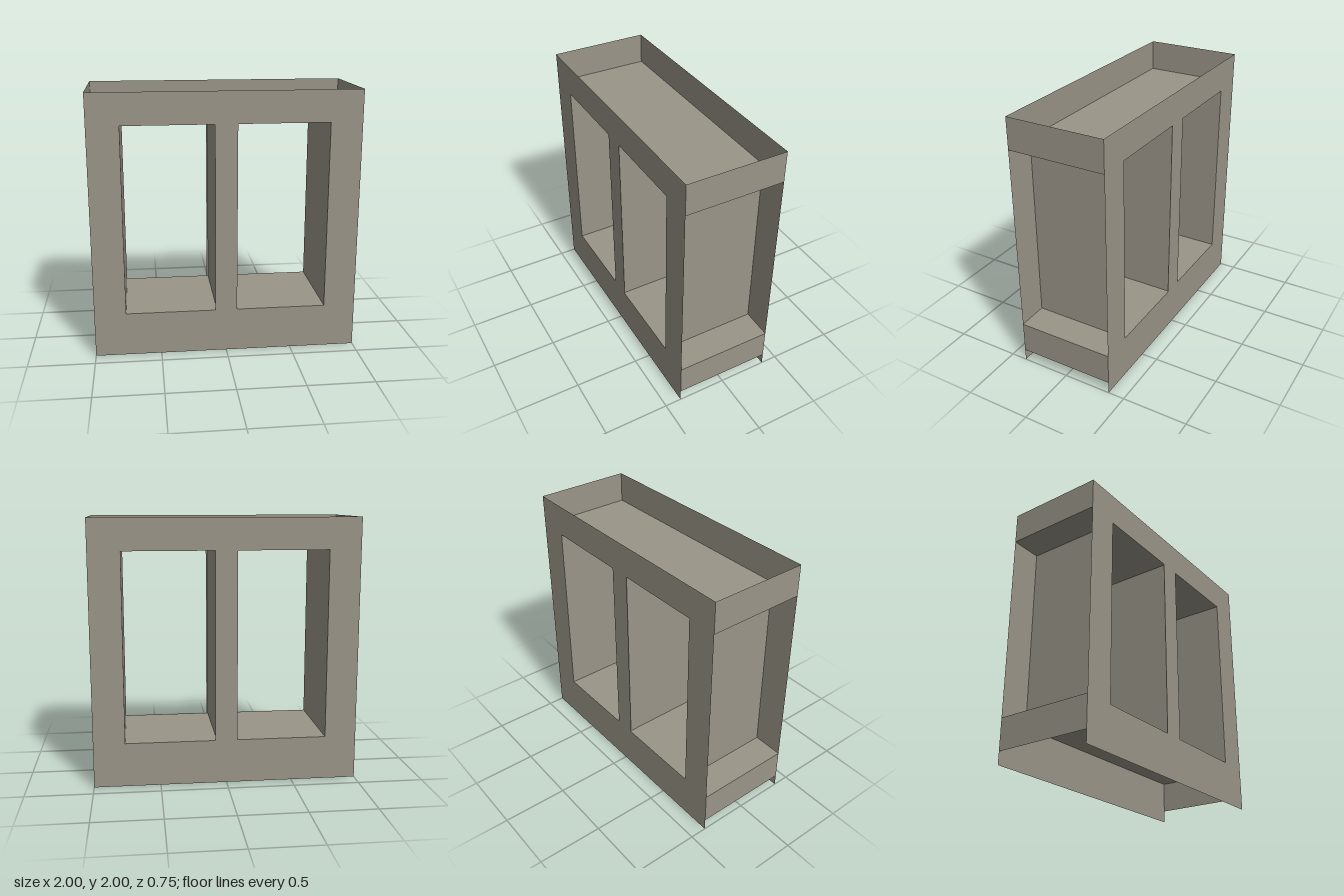
import * as THREE from 'three';

export function createModel() {
  const model = new THREE.Group();
  const concrete = new THREE.MeshStandardMaterial({ color: 0x9a9588, side: THREE.DoubleSide });
  concrete.name = 'concrete grey';

  const depth = 0.748, rim = 0.24;
  const holeIn = 0.083, holeOut = 0.762, low = 0.334, high = 1.762;

  const add = (name, geometry, x, y, z) => {
    const mesh = new THREE.Mesh(geometry, concrete);
    mesh.name = name;
    mesh.position.set(x, y, z);
    model.add(mesh);
  };
  // Upright sheet across the depth, at a given x
  const upright = (name, x, y0, y1) =>
    add(name, new THREE.PlaneGeometry(depth, y1 - y0).rotateY(x < 0 ? -Math.PI / 2 : Math.PI / 2), x, (y0 + y1) / 2, 0);

  const rectangle = (Type, x0, y0, x1, y1) => new Type([
    new THREE.Vector2(x0, y0), new THREE.Vector2(x1, y0),
    new THREE.Vector2(x1, y1), new THREE.Vector2(x0, y1),
  ]);

  // Face sheets with two tall openings
  const face = rectangle(THREE.Shape, -1, 0, 1, 2);
  face.holes.push(
    rectangle(THREE.Path, -holeOut, low, -holeIn, high),
    rectangle(THREE.Path, holeIn, low, holeOut, high),
  );
  add('frontFace', new THREE.ShapeGeometry(face), 0, 0, depth / 2);
  add('backFace', new THREE.ShapeGeometry(face).rotateY(Math.PI), 0, 0, -depth / 2);

  // Recessed sheets above and below the openings
  add('upperShelf', new THREE.PlaneGeometry(2, depth).rotateX(-Math.PI / 2), 0, high, 0);
  add('lowerShelf', new THREE.PlaneGeometry(2, depth).rotateX(-Math.PI / 2), 0, low, 0);

  // Mirrored walls: outer opening wall, centre web, and end strips
  for (const s of [-1, 1]) {
    const side = s > 0 ? 'left' : 'right';
    upright(side + 'OuterWall', s * holeOut, low, high);
    upright(side + 'CentreWall', s * 0.072, low, high);
    upright(side + 'UpperEndStrip', s, high, 2);
    upright(side + 'LowerEndStrip', s, low - rim, low);
  }
  return model;
}
